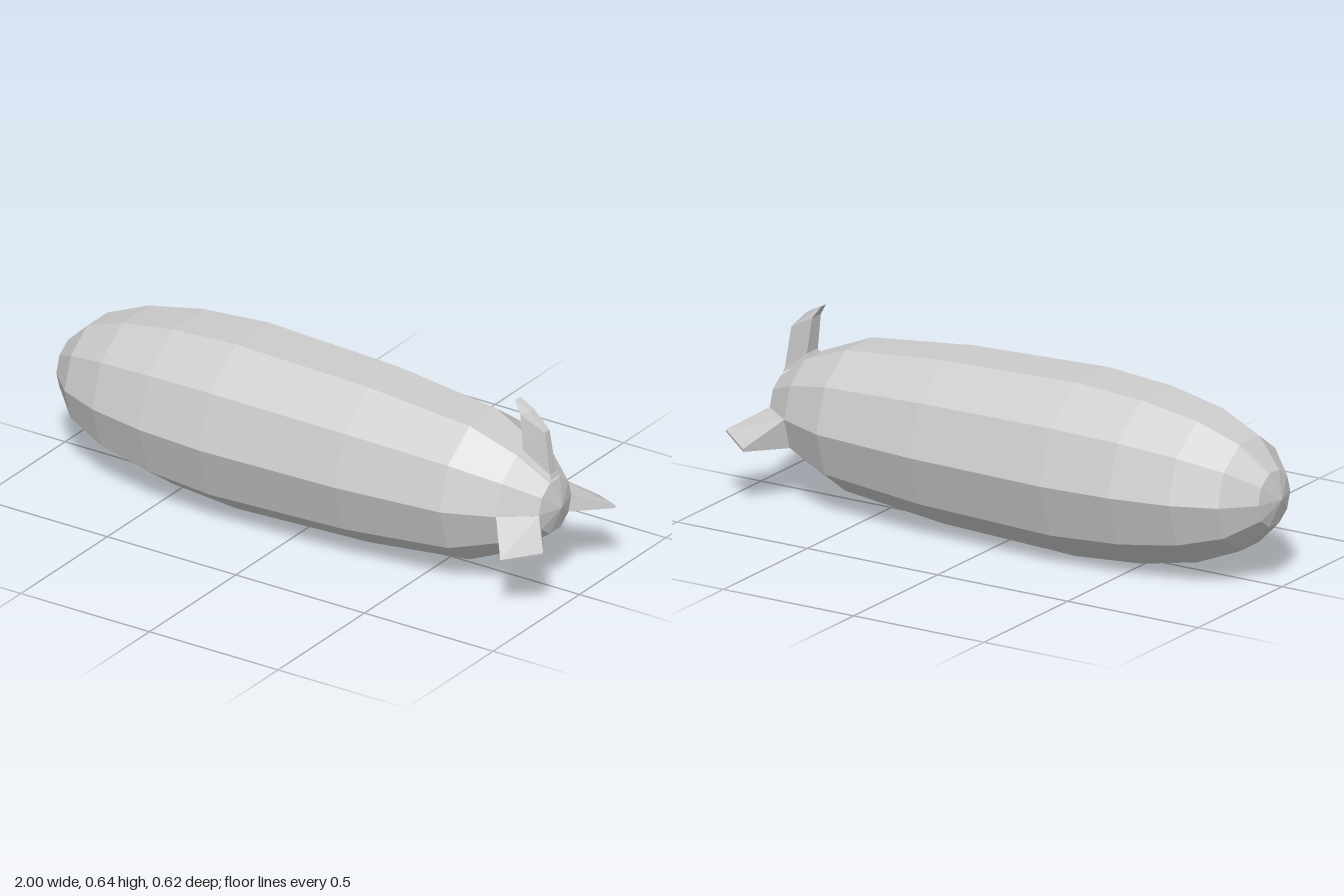
import * as THREE from 'three';

const AXIS_Y = 0.295; // height of the hull's long axis

const material = new THREE.MeshStandardMaterial({ color: 0xcccccc, flatShading: true });

function part(name, geometry) {
  const mesh = new THREE.Mesh(geometry, material);
  mesh.name = name;
  return mesh;
}

// Joins four-cornered sections (counter-clockwise seen from the tip) into a closed solid
function loft(sections) {
  const index = [];
  const quad = (a, b, c, d) => index.push(a, b, c, a, c, d);
  for (let s = 0; s < sections.length - 1; s++) {
    for (let k = 0; k < 4; k++) {
      const a = s * 4 + k;
      const b = s * 4 + (k + 1) % 4;
      quad(a, b, b + 4, a + 4);
    }
  }
  const end = (sections.length - 1) * 4;
  quad(3, 2, 1, 0);
  quad(end, end + 1, end + 2, end + 3);
  const geometry = new THREE.BufferGeometry();
  geometry.setAttribute('position', new THREE.Float32BufferAttribute(sections.flat(2), 3));
  geometry.setIndex(index);
  const flat = geometry.toNonIndexed();
  flat.computeVertexNormals();
  return flat;
}

// Ten-sided hull: radius and position along the axis, nose to tail
function hull() {
  const profile = [
    [0, -1], [0.096, -0.97], [0.19, -0.875], [0.252, -0.725], [0.292, -0.52], [0.31, -0.27],
    [0.292, 0.243], [0.252, 0.625], [0.18, 0.795], [0.095, 0.905], [0, 0.933],
  ].map(([r, x]) => new THREE.Vector2(r, x));
  const geometry = new THREE.LatheGeometry(profile, 10);
  geometry.rotateZ(-Math.PI / 2);
  geometry.translate(0, AXIS_Y, 0);
  return part('hull', geometry);
}

// Upright fin, swept forward, thick at the leading edge
function topFin() {
  // lead x, lead y, lead half-width, trail x, trail y, trail half-width
  const levels = [
    [0.795, 0.458, 0.043, 0.903, 0.393, 0.022],
    [0.803, 0.478, 0.033, 0.897, 0.41, 0.018],
    [0.787, 0.6, 0.026, 0.875, 0.553, 0.013],
    [0.76, 0.64, 0.015, 0.815, 0.613, 0.012],
  ];
  return part('topFin', loft(levels.map(([lx, ly, lw, tx, ty, tw]) => [
    [lx, ly, lw], [tx, ty, tw], [tx, ty, -tw], [lx, ly, -lw],
  ])));
}

// Tapered side fin, swept back and drooping; side is +1 for +z, -1 for -z
function sideFin(name, side) {
  const root = [[0.795, 0.19, 0.148], [0.905, 0.24, 0.078], [0.905, 0.296, 0.092], [0.795, 0.296, 0.178]];
  const tip = [[0.885, 0.199, 0.284], [1, 0.226, 0.208], [1, 0.234, 0.21], [0.885, 0.209, 0.287]];
  const sections = [root, tip].map((section) => {
    const placed = section.map(([x, y, z]) => [x, y, z * side]);
    return side > 0 ? placed : placed.reverse();
  });
  return part(name, loft(sections));
}

export function createModel() {
  const model = new THREE.Group();
  model.name = 'airship';
  model.add(hull(), topFin(), sideFin('frontSideFin', 1), sideFin('backSideFin', -1));
  return model;
}
